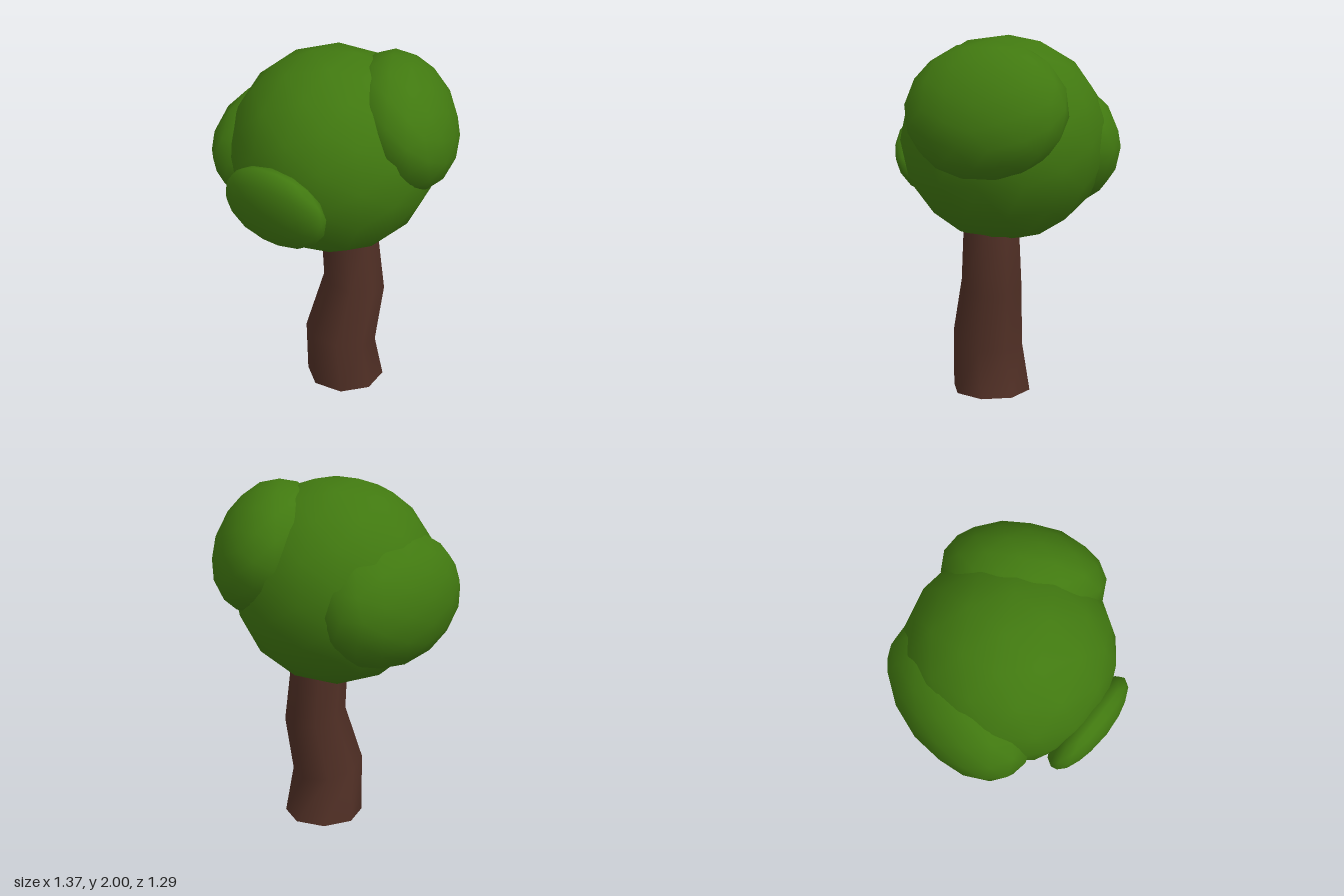
import * as THREE from 'three';
import { mergeVertices } from 'three/addons/utils/BufferGeometryUtils.js';

const leafGreen = new THREE.MeshStandardMaterial({ color: 0x417910 });
leafGreen.name = 'leafGreen';
const barkBrown = new THREE.MeshStandardMaterial({ color: 0x502f25 });
barkBrown.name = 'barkBrown';

const SIDES = 8;

// Trunk rings from the ground up: centre, radius, and slope of the ring along x and z
const rings = [
  { x: 0.075, y: 0, z: 0.053, r: 0.224, sx: 0, sz: 0 },
  { x: 0.05, y: 0.295, z: 0.082, r: 0.202, sx: -0.17, sz: 0.12 },
  { x: 0.122, y: 0.625, z: 0.04, r: 0.174, sx: -0.2, sz: 0.09 },
  { x: 0.095, y: 0.95, z: 0.048, r: 0.16, sx: 0, sz: 0 },
  { x: 0.09, y: 1.08, z: 0.05, r: 0.155, sx: 0, sz: 0 },
];

function createTrunk() {
  const trunk = new THREE.Group();
  trunk.name = 'trunk';

  // Bent bark: every row of a unit cylinder is moved onto its ring
  const steps = rings.length - 1;
  let bark = new THREE.CylinderGeometry(1, 1, 1, SIDES, steps, true);
  const p = bark.attributes.position;
  for (let i = 0; i < p.count; i++) {
    const k = rings[Math.round((p.getY(i) + 0.5) * steps)];
    const dx = p.getX(i) * k.r;
    const dz = p.getZ(i) * k.r;
    p.setXYZ(i, k.x + dx, k.y + dx * k.sx + dz * k.sz, k.z + dz);
  }
  bark.deleteAttribute('uv');
  bark.deleteAttribute('normal');
  bark = mergeVertices(bark);
  bark.computeVertexNormals();
  const barkMesh = new THREE.Mesh(bark, barkBrown);
  barkMesh.name = 'bark';

  // Underside
  const foot = rings[0];
  const base = new THREE.Mesh(new THREE.CircleGeometry(foot.r, SIDES), barkBrown);
  base.name = 'trunkBase';
  base.rotation.x = Math.PI / 2;
  base.position.set(foot.x, foot.y, foot.z);

  trunk.add(barkMesh, base);
  return trunk;
}

// Ellipsoid leaf clump: facing is its short axis, radii are [across, upright, outward]
function clump(name, centre, facing, radii) {
  const mesh = new THREE.Mesh(new THREE.IcosahedronGeometry(1, 2), leafGreen);
  mesh.name = name;
  mesh.position.set(...centre);
  mesh.lookAt(new THREE.Vector3(...centre).add(new THREE.Vector3(...facing)));
  mesh.scale.set(...radii);
  return mesh;
}

export function createModel() {
  const tree = new THREE.Group();
  tree.name = 'tree';

  const crown = new THREE.Group();
  crown.name = 'crown';
  crown.add(
    clump('mainCrown', [0, 1.435, 0], [0, 0, 1], [0.577, 0.577, 0.577]),
    clump('leftClump', [0.38, 1.63, 0], [0.89, 0.45, 0], [0.445, 0.385, 0.28]),
    clump('backRightClump', [-0.285, 1.39, -0.215], [-0.75, 0, -0.66], [0.5, 0.375, 0.305]),
    clump('frontRightClump', [-0.25, 1.3, 0.475], [-0.43, -0.25, 0.87], [0.315, 0.25, 0.115]),
  );

  tree.add(createTrunk(), crown);
  return tree;
}
